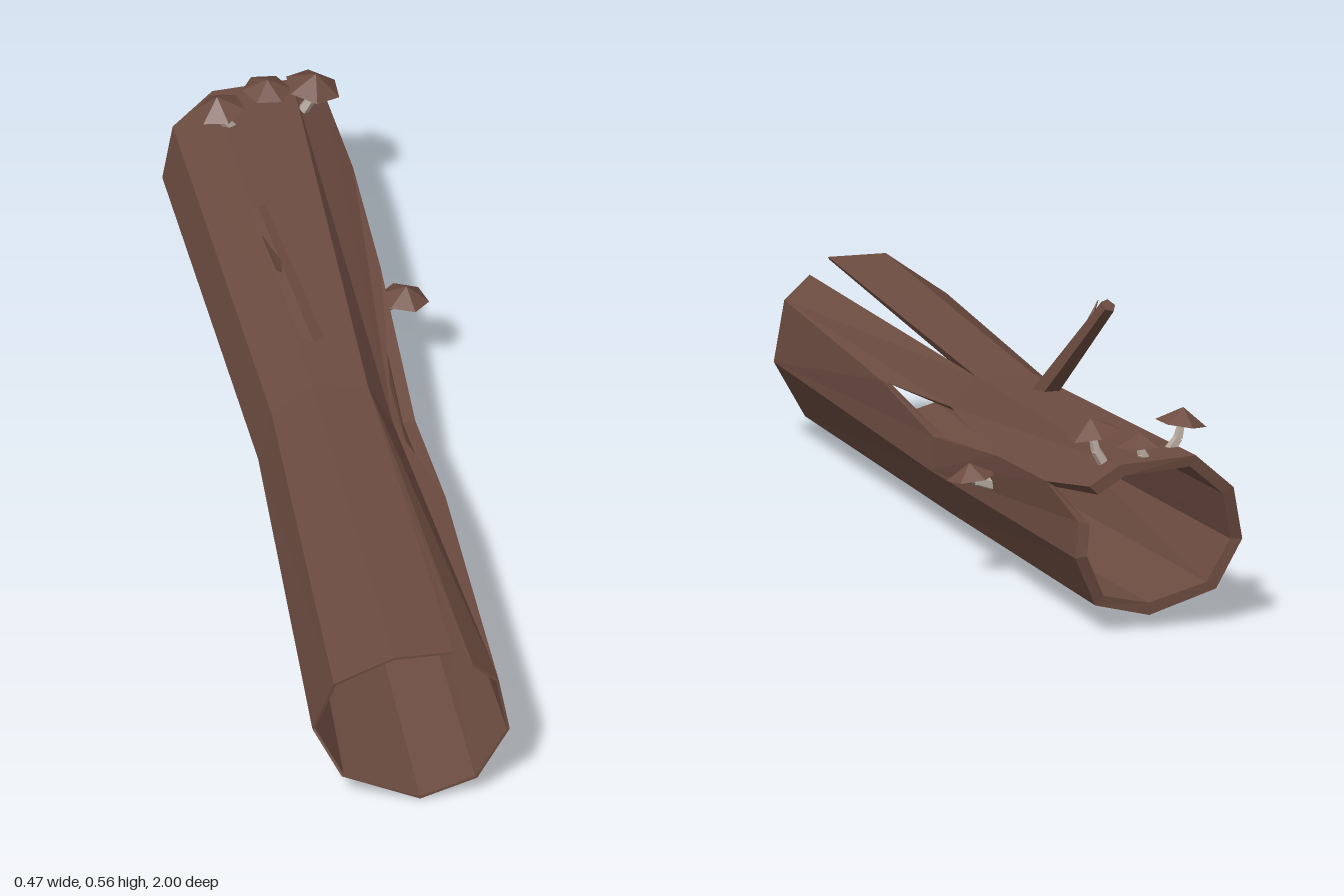
import * as THREE from 'three';

const bark = new THREE.MeshStandardMaterial({ color: 0x6d4c41 });
bark.name = 'bark brown';
const stemMat = new THREE.MeshStandardMaterial({ color: 0xb5a79c });
stemMat.name = 'stem grey';

const V = (x, y, z) => new THREE.Vector3(x, y, z);

function mesh(name, geometry, material) {
  const g = geometry.index ? geometry.toNonIndexed() : geometry;
  g.computeVertexNormals(); // flat facets
  const m = new THREE.Mesh(g, material);
  m.name = name;
  return m;
}

// Tapered stick between two points
function stick(name, a, b, r0, r1, sides, material) {
  const dir = b.clone().sub(a);
  const m = mesh(name, new THREE.CylinderGeometry(r1, r0, dir.length(), sides), material);
  m.position.copy(a).add(b).multiplyScalar(0.5);
  m.quaternion.setFromUnitVectors(V(0, 1, 0), dir.normalize());
  return m;
}

// Thick shell: outer polygons, an inner copy, and walls along every open edge
function shell(polys, innerOf) {
  const out = [];
  const tri = (...p) => p.forEach((v) => out.push(v.x, v.y, v.z));
  const edges = new Map();
  const ids = new Map();
  const id = (v) => { if (!ids.has(v)) ids.set(v, ids.size); return ids.get(v); };
  for (const p of polys) {
    for (let i = 1; i < p.length - 1; i++) {
      tri(p[0], p[i], p[i + 1]);
      tri(innerOf(p[0]), innerOf(p[i + 1]), innerOf(p[i]));
    }
    p.forEach((a, i) => {
      const b = p[(i + 1) % p.length];
      edges.set(id(a) + '_' + id(b), [a, b]);
    });
  }
  for (const [a, b] of edges.values()) {
    if (edges.has(id(b) + '_' + id(a))) continue;
    const c = innerOf(a), d = innerOf(b);
    tri(b, a, c);
    tri(b, c, d);
  }
  const g = new THREE.BufferGeometry();
  g.setAttribute('position', new THREE.Float32BufferAttribute(out, 3));
  return g;
}

function logGeometry() {
  // Rings run from the top edge of the split, over the left side, to the right edge
  const front = [[.06, .38, 1], [-.065, .38, 1], [-.185, .295, .96], [-.225, .16, .93], [-.17, .06, .97],
    [-.01, .005, 1], [.11, .045, 1], [.178, .165, 1], [.155, .295, 1], [.1, .345, 1]].map((p) => V(...p));
  const waist = [[.04, .33, .02], [-.075, .335, 0], [-.16, .27, 0], [-.188, .155, 0], [-.14, .05, 0],
    [-.01, 0, 0], [.1, .048, 0], [.15, .145, 0], [.142, .215, 0], [.085, .262, .06]].map((p) => V(...p));
  const back = [[.045, .36, -1], [-.125, .365, -.98], [-.21, .29, -.97], [-.235, .175, -.95], [-.175, .075, -.96],
    [-.03, .028, -.96], [.09, .058, -.97], [.14, .165, -.99], [.13, .24, -.98], [.112, .318, -1]].map((p) => V(...p));
  const holeFront = V(.152, .265, .33), holeBack = V(.143, .27, -.45), notch = V(.138, .285, -.78);

  const polys = [];
  for (let k = 0; k < 7; k++) {
    polys.push([front[k], waist[k], waist[k + 1], front[k + 1]]);
    polys.push([waist[k], back[k], back[k + 1], waist[k + 1]]);
  }
  // Broken panels around the split, the side hole and the rear notch
  polys.push([front[7], waist[7], waist[8], holeFront, front[8]]);
  polys.push([front[8], holeFront, waist[9], waist[0], front[9]]);
  polys.push([waist[7], back[7], back[8], notch, holeBack, waist[8]]);
  polys.push([waist[9], holeBack, notch, back[9], back[0], waist[0]]);

  const innerOf = (p) => {
    const t = p.z > 0.9 ? 0.006 : 0.026; // wall thins out at the front
    const d = V(-.025 - p.x, .185 - p.y, 0).setLength(t);
    return p.clone().add(d);
  };
  return shell(polys, innerOf);
}

// Mushroom: bent stem and a tilted six-sided cap
function mushroom(name, root, apex, radius, height, tilt, turn) {
  const g = new THREE.Group();
  g.name = name;
  const top = apex.clone().add(V(0, -height * 0.9, 0));
  const knee = root.clone().lerp(top, 0.45);
  knee.x += (top.x - root.x) * 0.25;
  g.add(stick('lowerStem', root, knee, .013, .011, 5, stemMat));
  g.add(stick('upperStem', knee, top, .011, .008, 5, stemMat));
  const cap = mesh('cap', new THREE.ConeGeometry(radius, height, 6), bark);
  cap.position.copy(apex).add(V(0, -height / 2, 0));
  cap.rotation.set(0, turn, tilt, 'ZYX');
  g.add(cap);
  return g;
}

export function createModel() {
  const group = new THREE.Group();
  group.name = 'hollowLog';
  group.add(mesh('logShell', logGeometry(), bark));

  // Broken branch with a twig
  group.add(stick('branch', V(-.045, .32, -.155), V(-.133, .548, -.342), .026, .017, 5, bark));
  group.add(stick('twig', V(-.09, .43, -.25), V(-.138, .54, -.253), .013, .001, 4, bark));

  group.add(mushroom('leftMushroom', V(-.1, .35, -.87), V(-.132, .442, -.86), .054, .034, .16, .2));
  group.add(mushroom('middleMushroom', V(-.03, .35, -.94), V(-.017, .412, -.94), .052, .026, -.05, .5));
  group.add(mushroom('rightMushroom', V(.05, .34, -.91), V(.077, .442, -.905), .06, .034, -.2, 0));
  group.add(mushroom('sideMushroom', V(.14, .2, -.41), V(.188, .249, -.41), .052, .03, -.15, .3));
  return group;
}
